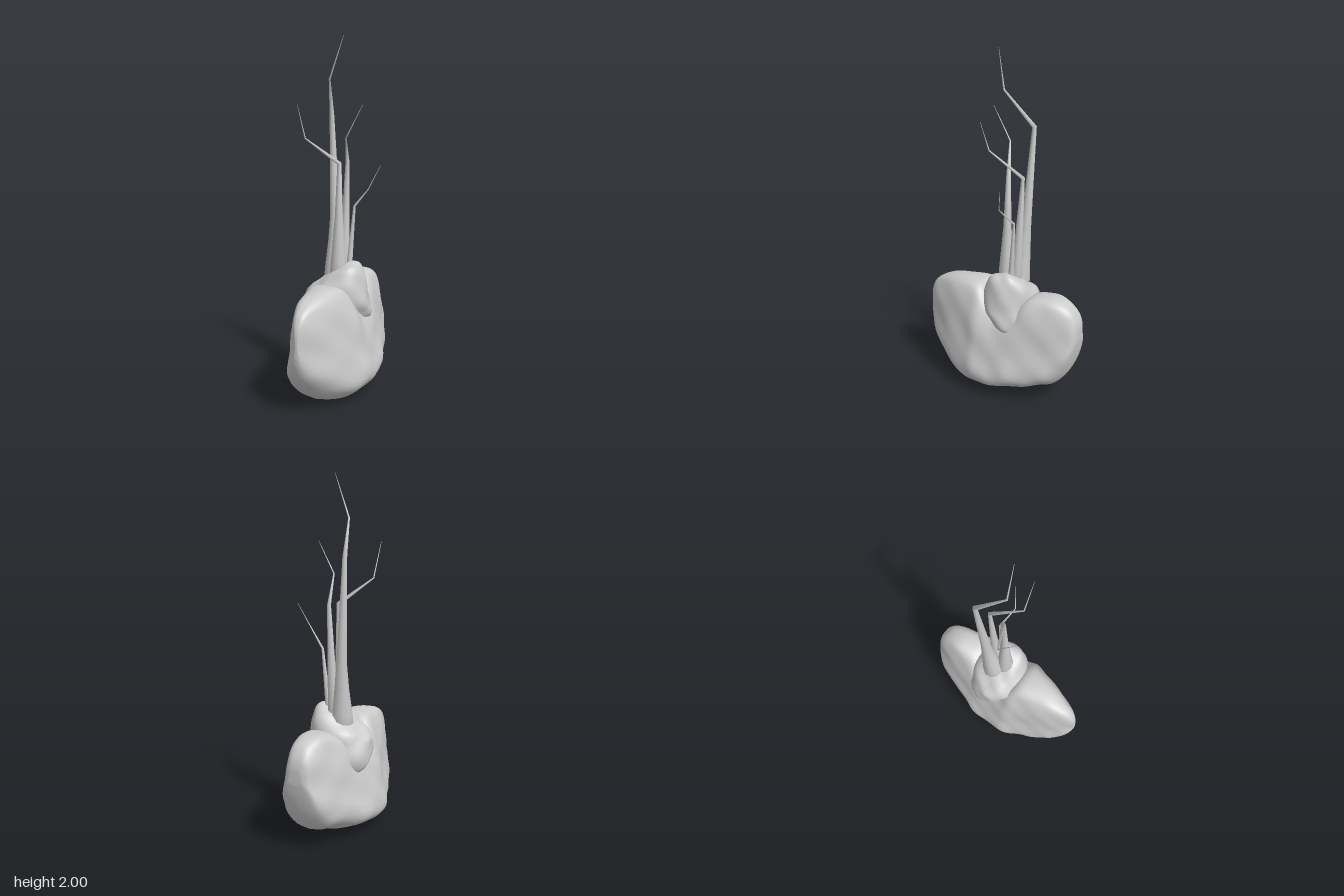
import * as THREE from 'three';

const material = new THREE.MeshStandardMaterial({ color: 0xcccccc, roughness: 0.9, side: THREE.DoubleSide });

// Gentle lumps that vary smoothly through space
const lump = (x, y, z) =>
  Math.sin(13 * x + 9 * y + 4) * Math.sin(15 * z - 7 * y) * 0.5 +
  Math.sin(29 * y + 11 * x) * Math.sin(27 * z + 17 * x + 2) * 0.5;

// Closed skin over a list of rings, each an array of Vector3
function loft(rings) {
  const n = rings[0].length, pos = [], idx = [];
  rings.forEach(r => r.forEach(p => pos.push(p.x, p.y, p.z)));
  for (let i = 0; i < rings.length - 1; i++) {
    for (let j = 0; j < n; j++) {
      const a = i * n + j, b = i * n + (j + 1) % n;
      idx.push(a, a + n, b, b, a + n, b + n);
    }
  }
  [0, rings.length - 1].forEach((k, end) => {
    const c = new THREE.Vector3();
    rings[k].forEach(p => c.addScaledVector(p, 1 / n));
    const ci = pos.length / 3;
    pos.push(c.x, c.y, c.z);
    for (let j = 0; j < n; j++) {
      const a = k * n + j, b = k * n + (j + 1) % n;
      if (end) idx.push(ci, b, a); else idx.push(ci, a, b);
    }
  });
  const g = new THREE.BufferGeometry();
  g.setAttribute('position', new THREE.Float32BufferAttribute(pos, 3));
  g.setIndex(idx);
  g.computeVertexNormals();
  return g;
}

// Saddle-topped boulder: sections along z, each with bottom, top and half width
function rockGeometry() {
  const stations = [
    [0.495, 0.34, 0.46, 0.015], [0.48, 0.27, 0.52, 0.035], [0.43, 0.17, 0.585, 0.08],
    [0.3, 0.055, 0.635, 0.155], [0.17, 0, 0.648, 0.205], [0.1, 0.005, 0.633, 0.232],
    [0.04, 0.015, 0.56, 0.24], [-0.03, 0.025, 0.52, 0.24], [-0.12, 0.04, 0.54, 0.232],
    [-0.2, 0.055, 0.62, 0.203], [-0.3, 0.085, 0.642, 0.172], [-0.37, 0.115, 0.638, 0.15],
    [-0.44, 0.2, 0.605, 0.115], [-0.48, 0.32, 0.55, 0.08], [-0.495, 0.41, 0.49, 0.035]];
  const splines = [1, 2, 3].map(k =>
    new THREE.SplineCurve(stations.map(s => new THREE.Vector2(s[0], s[k]))));
  // Half outline from underside to crown, widest low down
  const half = new THREE.SplineCurve(
    [[0, 0], [0.5, 0.03], [0.9, 0.12], [1, 0.25], [0.87, 0.47], [0.73, 0.74], [0.52, 0.93], [0.28, 0.99], [0, 1]]
      .map(p => new THREE.Vector2(...p)));
  const rings = [], steps = 60, m = 26;
  for (let i = 0; i <= steps; i++) {
    const [b, t, w] = splines.map(s => s.getPoint(i / steps));
    const ring = [];
    for (let j = 0; j < 2 * m; j++) {
      const p = half.getPoint((j <= m ? j : 2 * m - j) / m);
      const x = (j <= m ? 1 : -1) * p.x * w.y;
      const y = b.y + (t.y - b.y) * p.y, z = b.x;
      const d = 0.01 * lump(x, y, z);
      ring.push(new THREE.Vector3(
        x + d * Math.sign(x) * p.x, Math.max(0, y + d * (p.y - 0.5)), z));
    }
    rings.push(ring);
  }
  return loft(rings);
}

// Soil mound, peaked on the left, that hangs over both flanks of the saddle
function soilGeometry() {
  const g = new THREE.SphereGeometry(1, 40, 30);
  const p = g.attributes.position;
  for (let i = 0; i < p.count; i++) {
    const x = p.getX(i), y = p.getY(i), z = p.getZ(i);
    const up = Math.max(0, y), low = Math.max(0, -y);
    const r = 1 + 0.07 * lump(x * 0.25, y * 0.25, z * 0.25);
    p.setXYZ(i,
      -0.018 + 0.055 * up * up + x * r * 0.183 * (1 - 0.12 * up + 0.55 * low * low + 0.15 * low),
      0.55 + y * r * 0.185 + 0.08 * x * up + 0.05 * z * low,
      -0.05 - 0.04 * low + z * r * 0.16 * (1 + 0.15 * low));
  }
  g.computeVertexNormals();
  return g;
}

// Kinked tapering branch; each point is x, y, z, radius
function branchGeometry(points, sides = 10) {
  const v = points.map(p => new THREE.Vector3(p[0], p[1], p[2]));
  const ref = new THREE.Vector3(0.3, 0, 1).normalize();
  return loft(v.map((c, i) => {
    const d = new THREE.Vector3();
    if (i > 0) d.add(c.clone().sub(v[i - 1]).normalize());
    if (i < v.length - 1) d.add(v[i + 1].clone().sub(c).normalize());
    d.normalize();
    const a = new THREE.Vector3().crossVectors(ref, d).normalize();
    const b = new THREE.Vector3().crossVectors(a, d);
    return Array.from({ length: sides }, (_, j) => {
      const t = j / sides * Math.PI * 2, r = points[i][3];
      return c.clone().addScaledVector(a, Math.cos(t) * r).addScaledVector(b, Math.sin(t) * r);
    });
  }));
}

export function createModel() {
  const group = new THREE.Group();
  const add = (name, geometry) => {
    const mesh = new THREE.Mesh(geometry, material);
    mesh.name = name;
    group.add(mesh);
  };

  add('rock', rockGeometry());
  add('soilMound', soilGeometry());

  const branches = {
    tallBranch: [[-0.04, 0.57, -0.07, 0.074], [-0.048, 0.7, -0.082, 0.059], [-0.056, 0.85, -0.1, 0.041],
      [-0.062, 1.0, -0.112, 0.029], [-0.095, 1.57, -0.138, 0.013], [-0.035, 1.765, 0.015, 0.005],
      [0.042, 2.0, 0.0, 0.001]],
    frontBranch: [[-0.005, 0.6, -0.035, 0.058], [0, 0.75, -0.025, 0.044], [0, 1.0, -0.028, 0.023],
      [0, 1.305, -0.035, 0.013], [-0.167, 1.445, 0.053, 0.004], [-0.16, 1.635, 0.155, 0.001]],
    backBranch: [[0.0, 0.6, -0.08, 0.042], [0.005, 0.8, -0.095, 0.028], [0.007, 1.31, -0.128, 0.011],
      [0.075, 1.455, 0.042, 0.004], [0.17, 1.635, 0.035, 0.001]],
    shortBranch: [[0.035, 0.6, -0.07, 0.022], [0.045, 0.75, -0.08, 0.016], [0.062, 1.06, -0.105, 0.007],
      [0.16, 1.165, -0.07, 0.003], [0.218, 1.3, -0.11, 0.001]],
  };
  for (const [name, points] of Object.entries(branches)) add(name, branchGeometry(points));

  return group;
}
